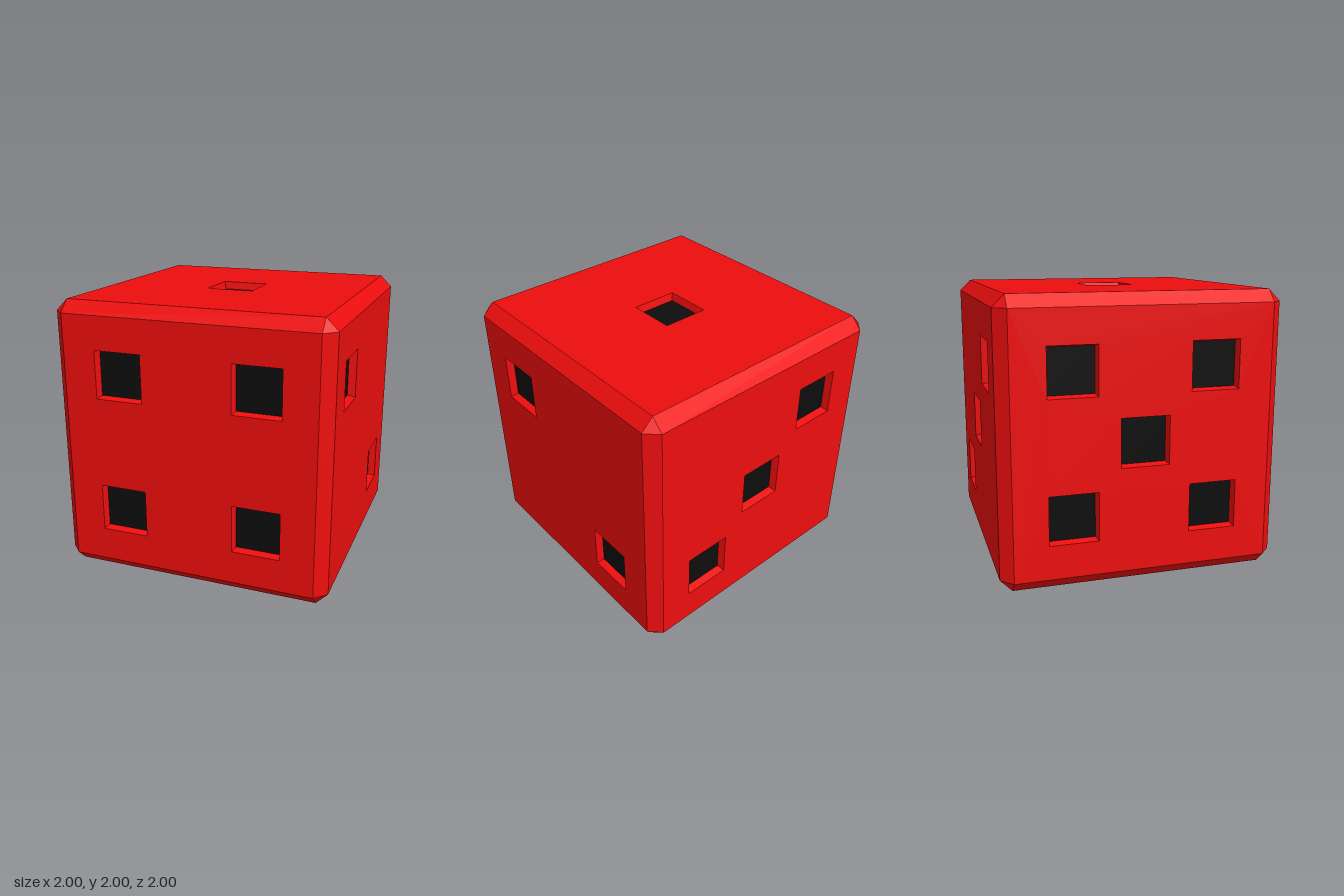
import * as THREE from 'three';
import { mergeGeometries } from 'three/addons/utils/BufferGeometryUtils.js';

const FLAT = 0.915;      // half width of each flat face inside the chamfers
const PIP = 0.173;       // half width of a pip opening
const PIP_FLOOR = 0.16;  // half width of a pip floor
const DEPTH = 0.055;

const red = new THREE.MeshStandardMaterial({ color: 0xee0e0e, flatShading: true });
const redInside = new THREE.MeshStandardMaterial({ color: 0xee0e0e, flatShading: true, side: THREE.DoubleSide });
const black = new THREE.MeshStandardMaterial({ color: 0x0d0d0d, flatShading: true });

function square(path, x, y, h) {
  path.moveTo(x - h, y - h);
  path.lineTo(x + h, y - h);
  path.lineTo(x + h, y + h);
  path.lineTo(x - h, y + h);
  path.closePath();
  return path;
}

function add(parent, name, geometry, material) {
  const mesh = new THREE.Mesh(geometry, material);
  mesh.name = name;
  parent.add(mesh);
  return mesh;
}

// One side of the die, facing +z: a panel with square holes and a shallow pit behind each
function makeFace(name, pips) {
  const face = new THREE.Group();
  face.name = name;
  const shape = square(new THREE.Shape(), 0, 0, FLAT);
  for (const [x, y] of pips) shape.holes.push(square(new THREE.Path(), x, y, PIP));
  add(face, 'panel', new THREE.ShapeGeometry(shape).translate(0, 0, 1), red);

  for (const [x, y] of pips) {
    const walls = new THREE.CylinderGeometry(
      PIP * Math.SQRT2, PIP_FLOOR * Math.SQRT2, DEPTH, 4, 1, true, Math.PI / 4);
    walls.rotateX(Math.PI / 2).translate(x, y, 1 - DEPTH / 2);
    add(face, 'pipWalls', walls, redInside);
    const floor = new THREE.PlaneGeometry(PIP_FLOOR * 2, PIP_FLOOR * 2);
    add(face, 'pipFloor', floor.translate(x, y, 1 - DEPTH), black);
  }
  return face;
}

// Twelve chamfer strips, four around each axis
function makeEdges() {
  const strips = [];
  const middle = (1 + FLAT) / 2;
  for (let axis = 0; axis < 3; axis++) {
    for (let k = 0; k < 4; k++) {
      const strip = new THREE.PlaneGeometry(FLAT * 2, (1 - FLAT) * Math.SQRT2);
      strip.rotateX(-Math.PI / 4).translate(0, middle, middle).rotateX(k * Math.PI / 2);
      if (axis === 1) strip.rotateZ(Math.PI / 2);
      if (axis === 2) strip.rotateY(Math.PI / 2);
      strips.push(strip);
    }
  }
  return mergeGeometries(strips);
}

// Eight corner triangles; mirrored ones swap two points to keep facing outward
function makeCorners() {
  const points = [];
  for (const x of [-1, 1]) for (const y of [-1, 1]) for (const z of [-1, 1]) {
    const a = [x, y * FLAT, z * FLAT];
    const b = [x * FLAT, y, z * FLAT];
    const c = [x * FLAT, y * FLAT, z];
    points.push(...a, ...(x * y * z > 0 ? [...b, ...c] : [...c, ...b]));
  }
  const geometry = new THREE.BufferGeometry();
  geometry.setAttribute('position', new THREE.Float32BufferAttribute(points, 3));
  geometry.computeVertexNormals();
  return geometry;
}

export function createModel() {
  const model = new THREE.Group();
  model.name = 'die';
  const body = new THREE.Group();
  body.name = 'body';
  body.position.y = 1;
  model.add(body);

  // Pip layouts, seen from outside each face
  const p = 0.5;
  const centre = [[0, 0]];
  const falling = [[-p, p], [p, -p]];
  const rising = [[-p, -p], [p, p]];
  const four = [...falling, ...rising];
  const quarter = Math.PI / 2;
  const faces = [
    ['frontFace', four, 0, 0],
    ['rightFace', falling, 0, quarter],
    ['backFace', [...rising, ...centre], 0, Math.PI],
    ['leftFace', [...four, ...centre], 0, -quarter],
    ['topFace', centre, -quarter, 0],
    ['bottomFace', [...four, [-p, 0], [p, 0]], quarter, 0],
  ];
  for (const [name, pips, rx, ry] of faces) {
    const face = makeFace(name, pips);
    face.rotation.set(rx, ry, 0);
    body.add(face);
  }

  add(body, 'chamferedEdges', makeEdges(), red);
  add(body, 'corners', makeCorners(), red);
  return model;
}
